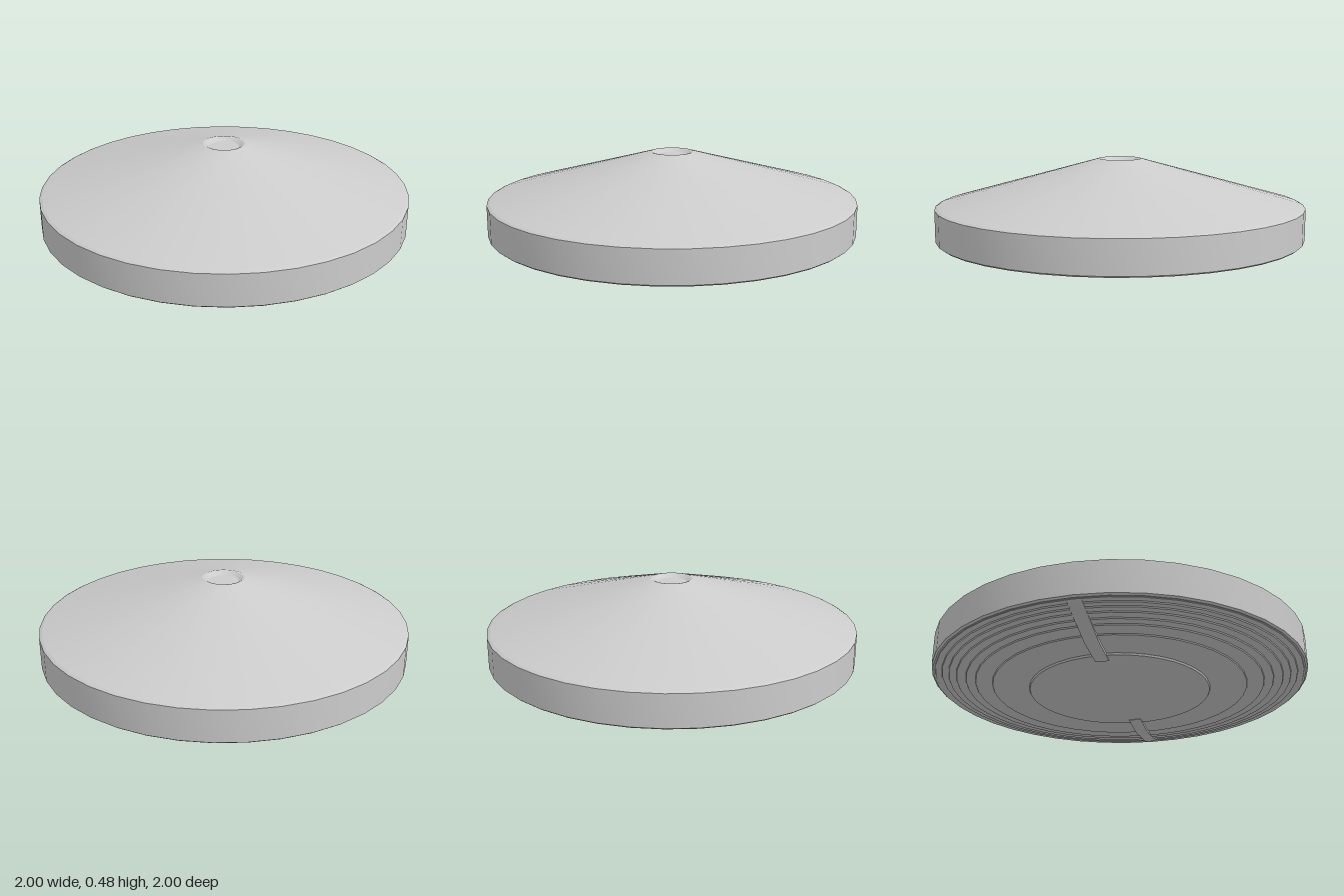
import * as THREE from 'three';
import { toCreasedNormals } from 'three/addons/utils/BufferGeometryUtils.js';

const SIDES = 40;
const material = new THREE.MeshStandardMaterial({ color: 0xcccccc });

// Turned part; the profile [radius, y] runs from the underside out and up
function turned(name, profile) {
  const points = profile.map(([r, y]) => new THREE.Vector2(r, y));
  const geometry = toCreasedNormals(new THREE.LatheGeometry(points, SIDES), 0.2);
  const mesh = new THREE.Mesh(geometry, material);
  mesh.name = name;
  return mesh;
}

export function createModel() {
  const model = new THREE.Group();
  model.name = 'lampShade';

  // Conical housing with a vertical rim and a dished hole on top
  model.add(turned('housing', [
    [0.975, 0.056], [0.99, 0.054], [1, 0.062], [1, 0.23], [0.985, 0.238],
    [0.115, 0.48], [0.105, 0.478], [0.08, 0.462], [0, 0.462],
  ]));

  // Underside made of shallow concentric steps
  const radii = [0.68, 0.77, 0.82, 0.87, 0.91, 0.945, 0.98];
  const steps = [[0, 0.014], [0.5, 0.014]];
  radii.forEach((r, i) => {
    const y = 0.016 + i * 0.006;
    steps.push([r, y], [r + 0.003, y + 0.006]);
  });
  model.add(turned('steppedDiffuser', steps));

  // Central disc with a stepped edge
  model.add(turned('centreDisc', [
    [0, 0.001], [0.4, 0.001], [0.405, 0.003], [0.43, 0.003],
    [0.435, 0.005], [0.465, 0.005], [0.47, 0.003], [0.482, 0.004], [0.487, 0.016],
  ]));

  // Two bent retaining clips reaching from the disc to the rim
  const side = new THREE.Shape([
    [0.42, 0], [0.64, 0], [0.95, 0.046], [0.98, 0.054], [0.95, 0.06], [0.64, 0.018], [0.42, 0.014],
  ].map(([x, y]) => new THREE.Vector2(x, y)));
  const clipGeometry = new THREE.ExtrudeGeometry(side, { depth: 0.07, bevelEnabled: false });
  clipGeometry.translate(0, 0, -0.035);
  for (const turn of [0, Math.PI]) {
    const clip = new THREE.Mesh(clipGeometry, material);
    clip.name = turn ? 'rightClip' : 'leftClip';
    clip.rotation.y = turn;
    model.add(clip);
  }

  return model;
}
